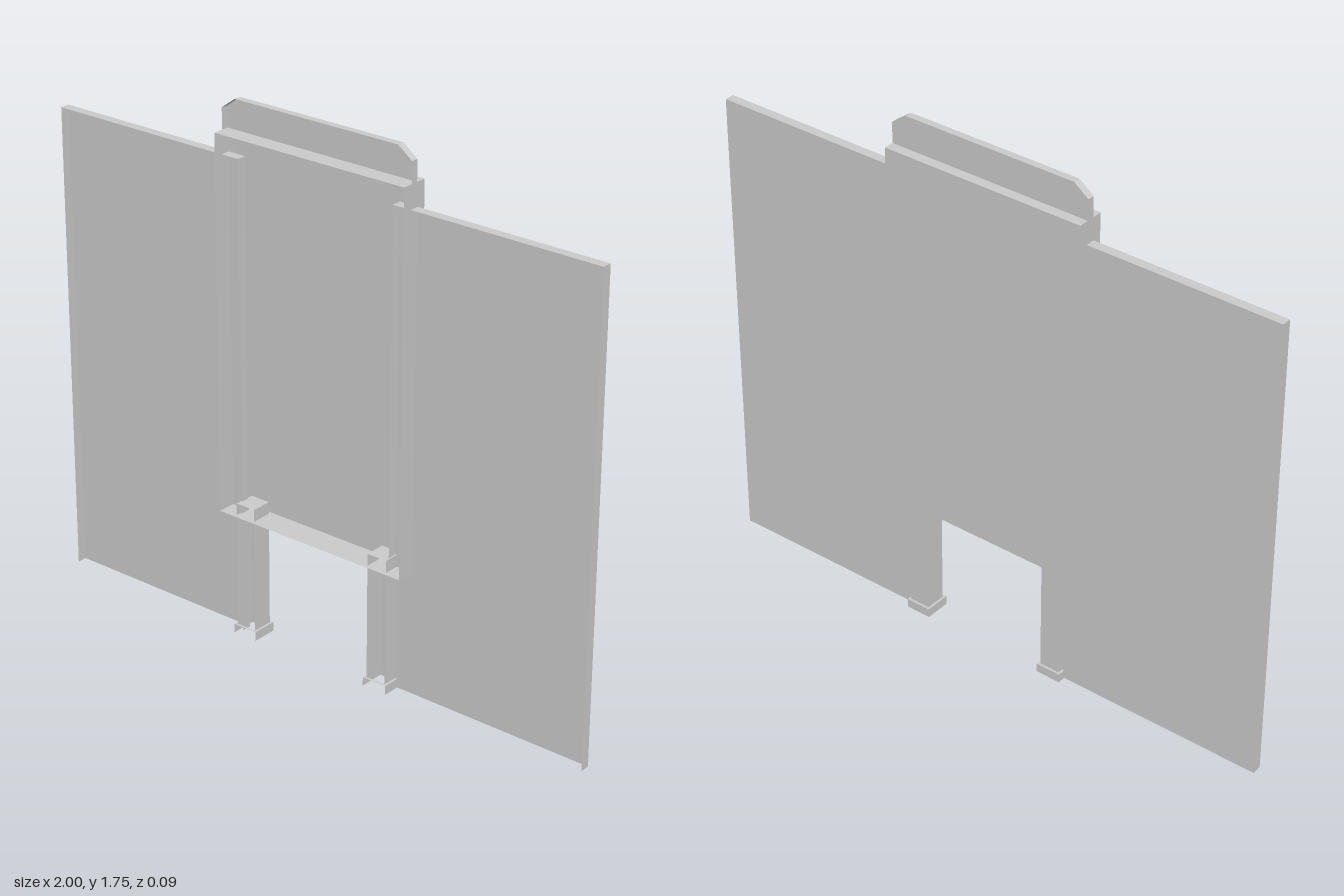
import * as THREE from 'three';
import { mergeGeometries } from 'three/addons/utils/BufferGeometryUtils.js';

const material = new THREE.MeshStandardMaterial({
  color: 0xcccccc, flatShading: true, side: THREE.DoubleSide,
});

// Counter-clockwise rectangle; edges run bottom, right, top, left
const rect = (x0, y0, x1, y1) => [[x0, y0], [x1, y0], [x1, y1], [x0, y1]];

// Sheet shell, open at the front: a back plate at z = -d plus one wall per outline edge
function openShell(name, outline, d, skipEdges = []) {
  const points = outline.map(([x, y]) => new THREE.Vector2(x, y));
  const parts = [new THREE.ShapeGeometry(new THREE.Shape(points)).translate(0, 0, -d)];
  points.forEach((a, i) => {
    if (skipEdges.includes(i)) return;
    const b = points[(i + 1) % points.length];
    parts.push(new THREE.PlaneGeometry(a.distanceTo(b), 2 * d)
      .rotateX(Math.PI / 2)
      .rotateZ(Math.atan2(b.y - a.y, b.x - a.x))
      .translate((a.x + b.x) / 2, (a.y + b.y) / 2, 0));
  });
  const mesh = new THREE.Mesh(mergeGeometries(parts), material);
  mesh.name = name;
  return mesh;
}

// Flat collar closing the gap between a foot and its leg
function collar(name, x, y, outer, inner) {
  const path = (Type, h) => new Type(rect(-h, -h, h, h).map(([a, b]) => new THREE.Vector2(a, b)));
  const shape = path(THREE.Shape, outer);
  shape.holes.push(path(THREE.Path, inner));
  const mesh = new THREE.Mesh(new THREE.ShapeGeometry(shape).rotateX(-Math.PI / 2), material);
  mesh.position.set(x, y, 0);
  mesh.name = name;
  return mesh;
}

export function createModel() {
  const model = new THREE.Group();
  model.name = 'panelStand';

  // Central cabinet and the chamfered header above it
  model.add(openShell('cabinet', rect(-0.35, 0.41, 0.35, 1.64), 0.046));
  model.add(openShell('header', [
    [-0.35, 1.64], [0.35, 1.64], [0.35, 1.708], [0.30, 1.745], [-0.30, 1.745], [-0.35, 1.708],
  ], 0.012, [0]));

  for (const [side, s] of [['left', 1], ['right', -1]]) {
    // Thin side panel running into the cabinet, open underneath
    const [x0, x1] = s > 0 ? [0.287, 1] : [-1, -0.287];
    model.add(openShell(side + 'Panel', rect(x0, 0, x1, 1.565), 0.016, [0]));

    // Square hollow leg with a slightly wider foot
    const x = s * 0.257, leg = 0.035, foot = 0.043;
    model.add(openShell(side + 'Leg', rect(x - leg, 0.03, x + leg, 0.45), leg, [0]));
    model.add(openShell(side + 'Foot', rect(x - foot, 0, x + foot, 0.03), foot, [0, 2]));
    model.add(collar(side + 'FootCollar', x, 0.03, foot, leg));
  }
  return model;
}
